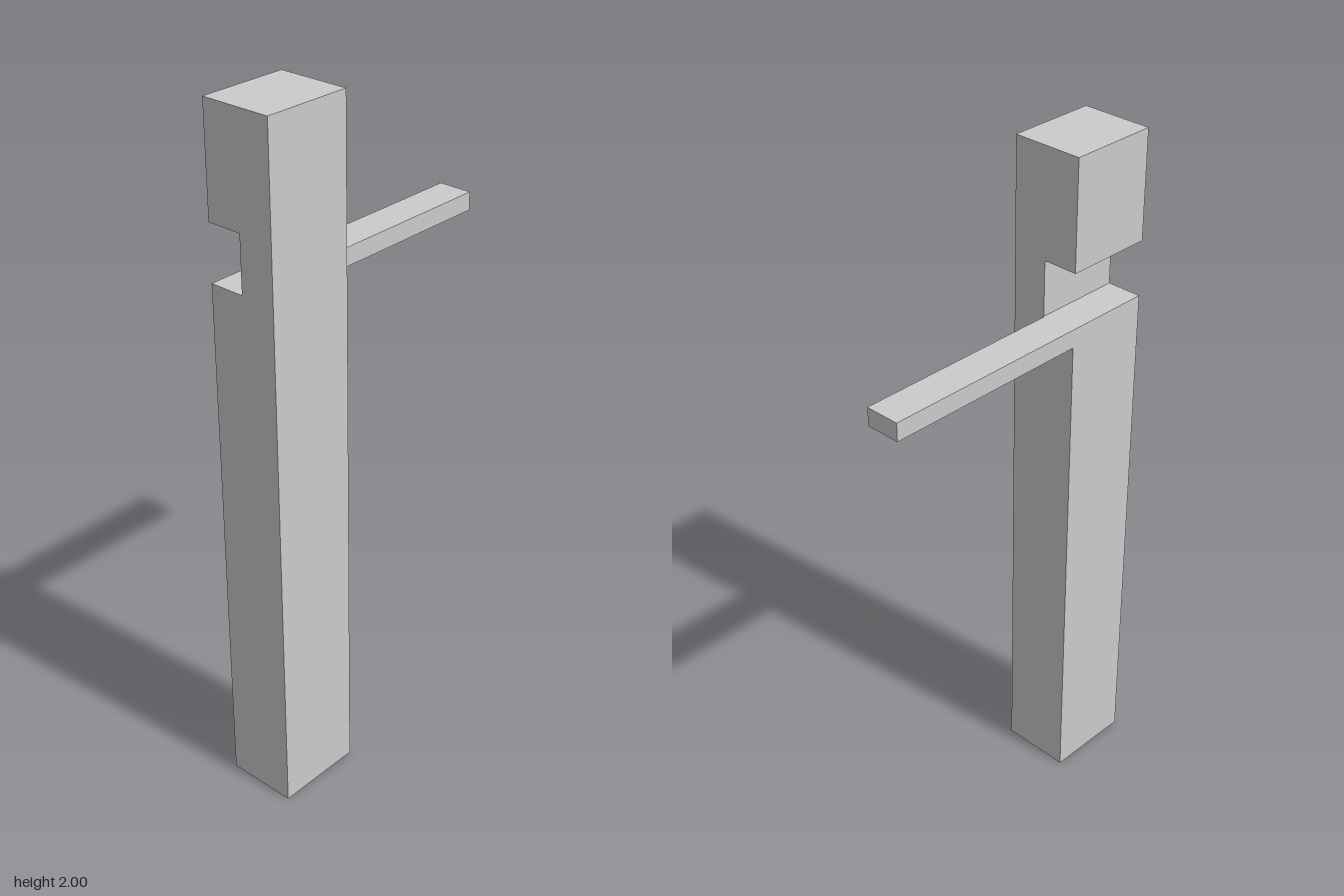
import * as THREE from 'three';

export function createModel() {
  const group = new THREE.Group();
  const material = new THREE.MeshStandardMaterial({ color: 0xcccccc, flatShading: true });

  const left = -0.44, postWidth = 0.26, half = 0.104;
  const notchBottom = 1.53, notchTop = 1.69;

  // Upright post: side profile (back to the right) with a notch cut into the back
  const profile = new THREE.Shape([
    [-half, 0], [half, 0], [half, notchBottom], [0, notchBottom],
    [0, notchTop], [half, notchTop], [half, 2], [-half, 2],
  ].map(([x, y]) => new THREE.Vector2(x, y)));
  const postGeometry = new THREE.ExtrudeGeometry(profile, { depth: postWidth, bevelEnabled: false });
  postGeometry.rotateY(Math.PI / 2);
  const post = new THREE.Mesh(postGeometry, material);
  post.name = 'post';
  post.position.x = left;
  group.add(post);

  // Horizontal arm, flush with the back of the post and the floor of the notch
  const armLength = 0.62, armHeight = 0.053, armDepth = 0.102;
  const arm = new THREE.Mesh(new THREE.BoxGeometry(armLength, armHeight, armDepth), material);
  arm.name = 'arm';
  arm.position.set(left + postWidth + armLength / 2, notchBottom - armHeight / 2, -half + armDepth / 2);
  group.add(arm);

  return group;
}
